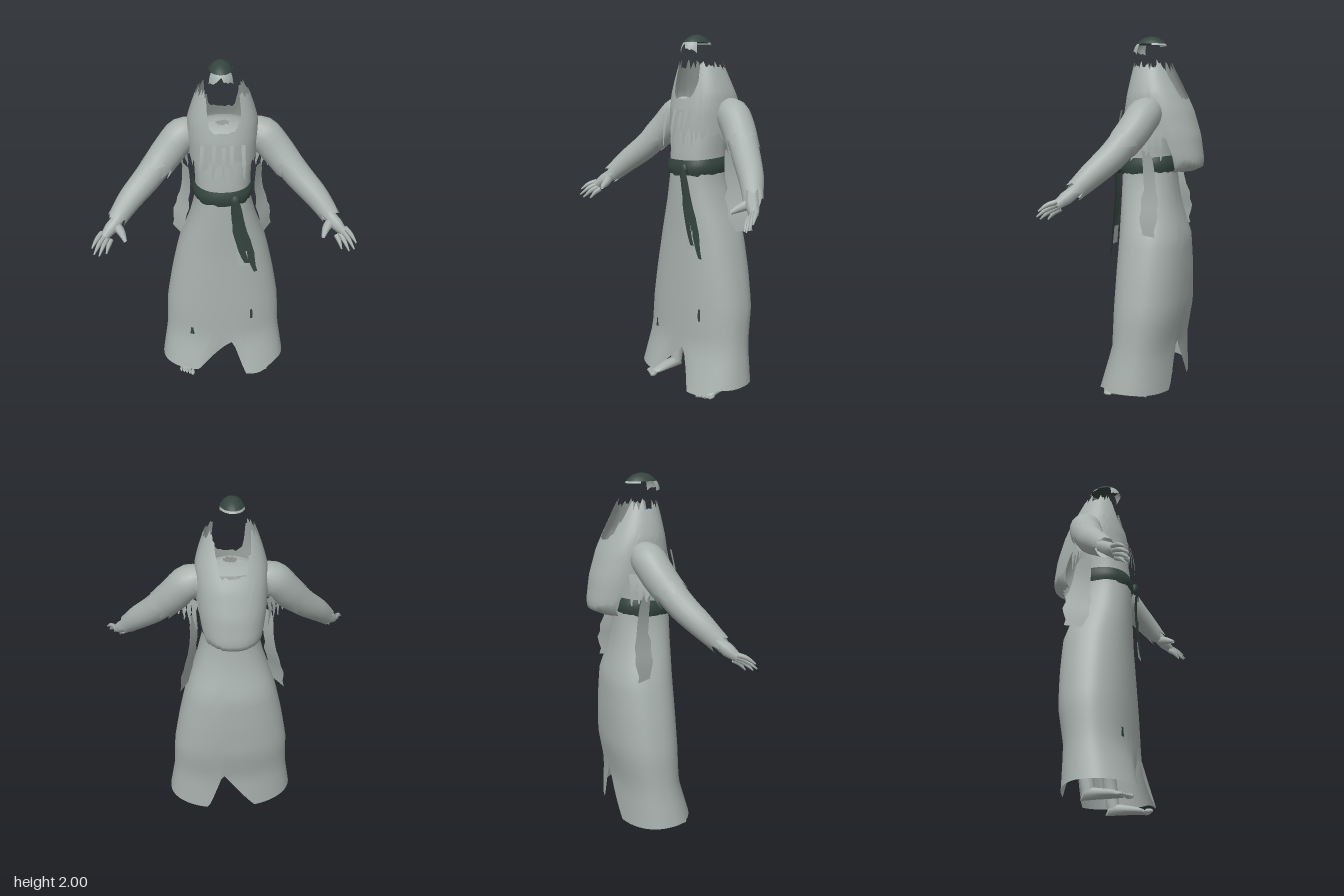
import * as THREE from 'three';

const mat = (name, color) => new THREE.MeshStandardMaterial({ name, color, side: THREE.DoubleSide });
const V = (x, y, z) => new THREE.Vector3(x, y, z);
const { lerp, smoothstep, clamp } = THREE.MathUtils;

// repeatable ragged noise, -0.5..0.5
const jag = (i) => { const s = Math.sin(i * 12.9898 + 4.1) * 43758.5453; return s - Math.floor(s) - 0.5; };
const soften = (v) => Math.sign(v) * Math.abs(v) ** 0.86;

// surface grid from fn(u, v) -> Vector3; u runs around, v runs along
function loft(cols, rows, fn, closed = true) {
  const pos = [], idx = [], n = closed ? cols : cols + 1;
  for (let j = 0; j <= rows; j++)
    for (let i = 0; i < n; i++) pos.push(...fn(i / cols, j / rows, i, j).toArray());
  for (let j = 0; j < rows; j++)
    for (let i = 0; i < cols; i++) {
      const a = j * n + i, b = j * n + (i + 1) % n, c = a + n, d = b + n;
      idx.push(a, c, b, b, c, d);
    }
  const g = new THREE.BufferGeometry();
  g.setAttribute('position', new THREE.Float32BufferAttribute(pos, 3));
  g.setIndex(idx);
  g.computeVertexNormals();
  return g;
}

// point on a body ring; profile rows are [y, halfWidth, zFront, zBack], y descending
function ring(profile, y, a, grow = 0) {
  let k = 0;
  while (k < profile.length - 2 && y < profile[k + 1][0]) k++;
  const p = profile[k], q = profile[k + 1], t = clamp((y - p[0]) / (q[0] - p[0]), 0, 1);
  const [w, f, b] = [1, 2, 3].map((n) => lerp(p[n], q[n], t));
  return V((w + grow) * soften(Math.sin(a)), y, (f + b) / 2 + ((f - b) / 2 + grow) * soften(Math.cos(a)));
}

// tapering tube along a curve, with optional torn far end
function limb(points, radii, sides = 12, rows = 14, torn = 0) {
  const curve = new THREE.CatmullRomCurve3(points);
  const fr = curve.computeFrenetFrames(rows);
  return loft(sides, rows, (u, v, i, j) => {
    const s = v * (radii.length - 1), k = Math.min(Math.floor(s), radii.length - 2);
    const r = lerp(radii[k], radii[k + 1], s - k), a = u * Math.PI * 2;
    const p = curve.getPoint(v);
    p.addScaledVector(fr.normals[j], Math.cos(a) * r).addScaledVector(fr.binormals[j], Math.sin(a) * r);
    if (j === rows) p.addScaledVector(fr.tangents[j], torn * jag(i * 3 + 1));
    return p;
  });
}

// flat strip along a path; each width is laid along dir
function strip(points, widths, dir, fray = 0) {
  const curve = new THREE.CatmullRomCurve3(points), rows = 10;
  return loft(2, rows, (u, v, i, j) => {
    const s = v * (widths.length - 1), k = Math.min(Math.floor(s), widths.length - 2);
    const w = lerp(widths[k], widths[k + 1], s - k) + fray * jag(j * 5 + i);
    return curve.getPoint(v).addScaledVector(dir, (u - 0.5) * w);
  }, false);
}

const DRESS = [
  [1.64, 0.14, 0.08, -0.16], [1.5, 0.16, 0.115, -0.17], [1.35, 0.15, 0.135, -0.16],
  [1.22, 0.155, 0.14, -0.165], [1.1, 0.185, 0.14, -0.18], [1.0, 0.22, 0.14, -0.205],
  [0.9, 0.255, 0.14, -0.235], [0.7, 0.3, 0.148, -0.24], [0.5, 0.335, 0.155, -0.235],
  [0.28, 0.345, 0.16, -0.195], [0.03, 0.385, 0.235, -0.2],
];
const SHAWL = [
  [1.88, 0.12, 0.06, -0.12], [1.75, 0.165, 0.09, -0.18], [1.68, 0.185, 0.105, -0.215],
  [1.6, 0.19, 0.12, -0.255], [1.46, 0.185, 0.13, -0.3], [1.33, 0.17, 0.12, -0.32],
  [1.29, 0.16, 0.11, -0.315], [1.26, 0.14, 0.1, -0.25],
];

// slit in the hem: rises from x0 to a peak and falls to x1
const slit = (x, x0, xp, x1, h) =>
  x < x0 || x > x1 ? 0 : h * (x < xp ? (x - x0) / (xp - x0) : (x1 - x) / (x1 - xp));

export function createModel() {
  const model = new THREE.Group();
  const cloth = mat('grey cloth', 0xa8b1ae), dark = mat('dark sash', 0x34443f);
  const add = (name, geo, m = cloth, parent = model) => {
    const mesh = new THREE.Mesh(geo, m);
    mesh.name = name;
    parent.add(mesh);
    return mesh;
  };

  // long dress with a slit at front and back of the hem
  add('dress', loft(120, 26, (u, v) => {
    const a = u * Math.PI * 2, x = 0.36 * soften(Math.sin(a)), c = Math.cos(a);
    const hem = c > 0
      ? 0.07 - 0.04 * smoothstep(x, 0, 0.12) * (1 - smoothstep(x, 0.2, 0.32)) + slit(x, -0.15, 0.06, 0.13, 0.21)
      : 0.07 - 0.03 * c * c + slit(x, -0.13, 0.06, 0.14, 0.28);
    const y = lerp(1.64, hem, v), p = ring(DRESS, y, a);
    if (c > 0) p.z -= 0.06 * (1 - smoothstep(y, 0.05, 0.3)) * Math.exp(-((x / 0.1) ** 2));
    return p;
  }));

  // shoulder cover closing the dress around the neck
  add('yoke', loft(36, 4, (u, v, i, j) => {
    const a = u * Math.PI * 2, r = lerp(0.14, 0.035, v);
    return V(r * 1.05 * Math.sin(a), 1.635 + 0.028 * Math.sin(v * Math.PI / 2) + (j === 4 ? 0.01 * jag(i) : 0),
      lerp(-0.04, -0.015, v) + r * 0.87 * Math.cos(a));
  }));

  // small torn spots on the skirt
  [[-0.52, 0.34, 0.06, 0.05], [0.45, 0.47, 0.04, 0.07]].forEach(([a, y, w, h], n) =>
    add('skirtTear' + n, loft(3, 3, (u, v, i, j) =>
      ring(DRESS, y + (0.5 - v) * h, a + (u - 0.5) * w * (1 + jag(j + n)), 0.004), false), dark));

  // shawl: torn collar standing at the sides, ragged front hem, full back panel
  add('shawl', loft(72, 16, (u, v, i) => {
    const a = u * Math.PI * 2, s = Math.abs(Math.sin(a)), c = Math.cos(a);
    const top = 1.66 + 0.18 * smoothstep(s, 0.24, 0.68) + jag(i) * (s > 0.4 ? 0.06 : 0.02);
    const back = smoothstep(-c, 0.3, 0.55);
    const hem = lerp(1.465 + jag(i + 90) * 0.08, 1.265 + jag(i + 30) * 0.01, back);
    return ring(SHAWL, lerp(top, hem, v), a);
  }));

  // torn strips hanging down the chest
  [-0.11, -0.05, 0.0, 0.04, 0.1].forEach((x, n) =>
    add('chestStrip' + n, strip([V(x, 1.6, 0.118), V(x * 1.05, 1.5, 0.138), V(x * 1.1, 1.4 + 0.05 * jag(n), 0.142)],
      [0.02, 0.022, 0.004], V(1, 0, 0), 0.01)));

  // sash with knot and two separate hanging ends
  add('sash', loft(48, 4, (u, v, i) => {
    const a = u * Math.PI * 2, tilt = 0.012 * Math.cos(a);
    return ring(DRESS, lerp(1.34, 1.255, v) - tilt + jag(i) * 0.014 * (v === 1), a, 0.006 + 0.01 * Math.sin(v * Math.PI));
  }), dark);
  const knot = add('sashKnot', new THREE.SphereGeometry(1, 10, 8), dark);
  knot.scale.set(0.026, 0.035, 0.018);
  knot.position.set(0.06, 1.28, 0.155);
  add('sashEndShort', strip([V(0.055, 1.28, 0.17), V(0.062, 1.15, 0.156), V(0.09, 1.0, 0.16), V(0.13, 0.87, 0.163)],
    [0.035, 0.04, 0.045, 0.03], V(1, 0, 0.1), 0.012), dark);
  add('sashEndLong', strip([V(0.068, 1.28, 0.172), V(0.105, 1.1, 0.158), V(0.145, 0.95, 0.153), V(0.18, 0.8, 0.152)],
    [0.03, 0.04, 0.05, 0.02], V(1, 0, -0.2), 0.012), dark);
  add('sashTag', strip([V(0.1, 0.95, 0.157), V(0.107, 0.85, 0.162)], [0.06, 0.065], V(1, 0, 0)));

  // scalp cap with a torn brow and thin rear rim
  const cap = new THREE.Group();
  cap.name = 'headCap';
  cap.position.set(-0.01, 1.9, -0.012);
  cap.scale.set(0.075, 0.1, 0.104);
  model.add(cap);
  add('hair', new THREE.SphereGeometry(1, 20, 6, 0, Math.PI * 2, 0, 0.95), dark, cap);
  add('rearRim', new THREE.SphereGeometry(1, 12, 2, Math.PI * 1.1, Math.PI * 0.8, 0.95, 0.12), cloth, cap);
  add('brow', loft(12, 3, (u, v, i) => {
    const a = (u - 0.5) * 1.9, t = lerp(0.95, 1.15 + 0.4 * Math.abs(u - 0.5) * 2 + 0.2 * jag(i), v);
    return V(Math.sin(a) * Math.sin(t), Math.cos(t), Math.cos(a) * Math.sin(t));
  }, false), cloth, cap);

  // paired parts
  for (const s of [1, -1]) {
    const side = new THREE.Group();
    side.name = s > 0 ? 'leftSide' : 'rightSide';
    model.add(side);
    const P = (x, y, z) => V(s * x, y, z);

    // sleeve and loose torn oversleeve
    add('sleeve', limb([P(0.14, 1.59, -0.08), P(0.23, 1.55, -0.06), P(0.32, 1.46, -0.02), P(0.41, 1.36, 0.035),
      P(0.5, 1.275, 0.1), P(0.57, 1.195, 0.165)], [0.075, 0.082, 0.08, 0.075, 0.066, 0.052], 16, 18, 0.06), cloth, side);
    add('oversleeve', limb([P(0.13, 1.6, -0.08), P(0.21, 1.575, -0.065), P(0.29, 1.49, -0.035), P(0.35, 1.42, 0.0)],
      [0.06, 0.093, 0.09, 0.085], 18, 10, 0.1), cloth, side);

    // hand
    add('palm', limb([P(0.54, 1.225, 0.135), P(0.585, 1.175, 0.185), P(0.64, 1.125, 0.235)],
      [0.03, 0.034, 0.036, 0.024], 8, 6), cloth, side);
    [[0.7, 1.1, 0.305], [0.69, 1.07, 0.32], [0.665, 1.055, 0.315], [0.63, 1.05, 0.29]].forEach(([x, y, z], n) => {
      const b = P(0.65 - n * 0.015, 1.145 - n * 0.014, 0.225 + n * 0.002), e = P(x, y, z);
      const mid = b.clone().lerp(e, 0.5).add(V(0, 0.008, 0));
      add('finger' + n, limb([b, mid, e], [0.014, 0.013, 0.004], 6, 5), cloth, side);
    });
    add('thumb', limb([P(0.585, 1.17, 0.18), P(0.55, 1.15, 0.225), P(0.525, 1.125, 0.28)],
      [0.028, 0.024, 0.01], 8, 5), cloth, side);

    // torn cloth hanging beside the hip
    add('hangingCloth', strip([P(0.198, 1.38, -0.06), P(0.202, 1.25, -0.085), P(0.225, 1.12, -0.1), P(0.25, 1.02, -0.1), P(0.262, 0.93, -0.1)],
      [0.06, 0.11, 0.13, 0.16, 0.1], V(s * 0.48, 0, -0.88), 0.05), cloth, side);

    // tatters under the arm
    for (let n = 0; n < 4; n++)
      add('tatter' + n, strip([P(0.19 + n * 0.025, 1.5, -0.14 + n * 0.035), P(0.2 + n * 0.025, 1.42, -0.14 + n * 0.03),
        P(0.19 + n * 0.03, 1.33 + n * 0.015, -0.15 + n * 0.03)], [0.05, 0.035, 0.006], V(s * 0.6, 0, 0.8), 0.015), cloth, side);

    // leg and bare foot
    add('leg', limb([P(0.15, 0.65, -0.04), P(0.18, 0.4, -0.05), P(0.21, 0.2, -0.05), P(0.215, 0.04, -0.03)],
      [0.075, 0.06, 0.04, 0.035], 12, 10), cloth, side);
    add('foot', loft(12, 8, (u, v) => {
      const a = u * Math.PI * 2, e = Math.sqrt(Math.max(0, 1 - (2 * v - 1) ** 4));
      const h = lerp(0.075, 0.03, v) * e, w = lerp(0.03, 0.046, v) * e;
      return P(0.21 + 0.02 * v + w * Math.cos(a), 0.002 + h * 0.5 * (1 + Math.sin(a)), lerp(-0.075, 0.165, v));
    }), cloth, side);
    for (let n = 0; n < 5; n++) {
      const toe = add('toe' + n, new THREE.SphereGeometry(1, 8, 6), cloth, side);
      const r = n ? 0.009 : 0.013;
      toe.scale.set(r, r, 0.025);
      toe.position.copy(P(0.195 + n * 0.018, 0.014, 0.172 - n * 0.008));
    }
  }
  return model;
}
